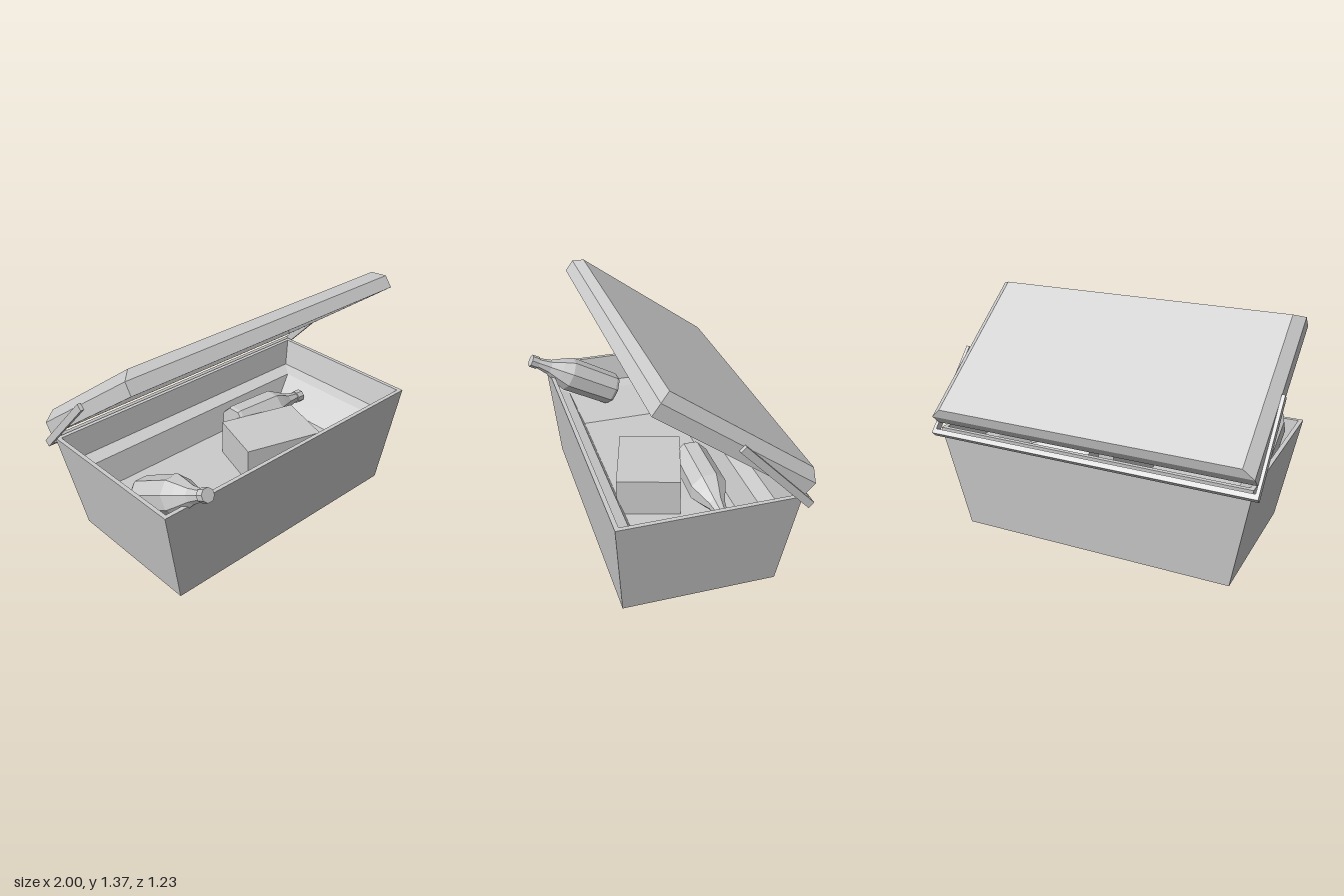
import * as THREE from 'three';

const mat = new THREE.MeshStandardMaterial({ color: 0xcccccc, flatShading: true, side: THREE.DoubleSide });

// Skin a series of rectangles [halfWidth, y, zBack, zFront], closed at both ends
function rectLoft(rings) {
  const corners = rings.map(([w, y, z0, z1]) => [[-w, y, z0], [-w, y, z1], [w, y, z1], [w, y, z0]]);
  const pos = [];
  const quad = (a, b, c, d) => pos.push(...a, ...b, ...c, ...a, ...c, ...d);
  const first = corners[0], last = corners[corners.length - 1];
  quad(first[3], first[2], first[1], first[0]);
  for (let k = 0; k < corners.length - 1; k++) {
    for (let i = 0; i < 4; i++) {
      const j = (i + 1) % 4;
      quad(corners[k][i], corners[k][j], corners[k + 1][j], corners[k + 1][i]);
    }
  }
  quad(...last);
  const g = new THREE.BufferGeometry();
  g.setAttribute('position', new THREE.Float32BufferAttribute(pos, 3));
  g.computeVertexNormals();
  return g;
}

function part(parent, name, geometry, x = 0, y = 0, z = 0) {
  const m = new THREE.Mesh(geometry, mat);
  m.name = name;
  m.position.set(x, y, z);
  parent.add(m);
  return m;
}

// Eight-sided bottle with its mouth at the origin and its base below
function bottleGeometry() {
  const profile = [
    [0, -0.62], [0.1, -0.62], [0.108, -0.6], [0.112, -0.277], [0.085, -0.21],
    [0.05, -0.134], [0.033, -0.05], [0.041, -0.05], [0.041, 0], [0, 0],
  ].map(([r, y]) => new THREE.Vector2(r, y));
  return new THREE.LatheGeometry(profile, 8, Math.PI / 8);
}

export function createModel() {
  const model = new THREE.Group();
  model.name = 'coolBox';

  // Tapered tub: outside, rim, inner wall, shallow ledge and sunken floor
  part(model, 'tub', rectLoft([
    [0.84, 0, -0.48, 0.42],
    [0.96, 0.64, -0.54, 0.48],
    [0.935, 0.64, -0.515, 0.455],
    [0.9, 0.47, -0.495, 0.435],
    [0.83, 0.45, -0.405, 0.345],
    [0.68, 0.28, -0.36, 0.28],
  ]));

  // Hollow lid, tilted open about its back edge
  const lid = part(model, 'lid', rectLoft([
    [0.915, 0.095, 0.07, 0.975],
    [0.96, 0, 0.02, 1.016],
    [0.98, 0, 0, 1.036],
    [0.978, 0.078, -0.012, 1.036],
    [0.915, 0.132, 0.01, 1.0],
  ]), 0, 0.67, -0.54);
  lid.rotation.x = -0.63;

  // Carrying handle: two side arms and a bar across the back
  const handle = new THREE.Group();
  handle.name = 'handle';
  handle.position.set(0, 1.02, -0.172);
  handle.rotation.x = Math.atan2(0.405, 0.42);
  model.add(handle);
  const length = 0.585;
  for (const side of [-1, 1]) {
    part(handle, 'handleArm', new THREE.BoxGeometry(0.02, length, 0.042), side * 0.988, -length / 2 + 0.006, 0);
  }
  part(handle, 'handleBar', new THREE.BoxGeometry(1.99, 0.03, 0.042), 0, -length + 0.02, 0);

  // Bottle leaning over the front rim
  const leaning = part(model, 'leaningBottle', bottleGeometry(), -0.775, 0.763, 0.6);
  leaning.rotation.x = 1.07;

  // Bottle lying at the back of the tub
  const lying = part(model, 'lyingBottle', bottleGeometry(), 0.74, 0.4, -0.2);
  lying.rotation.z = -Math.PI / 2 - 0.06;

  // Block resting on the floor of the tub
  const block = part(model, 'block', new THREE.BoxGeometry(0.49, 0.24, 0.37), 0.185, 0.385, 0.075);
  block.rotation.y = -0.3;

  return model;
}
